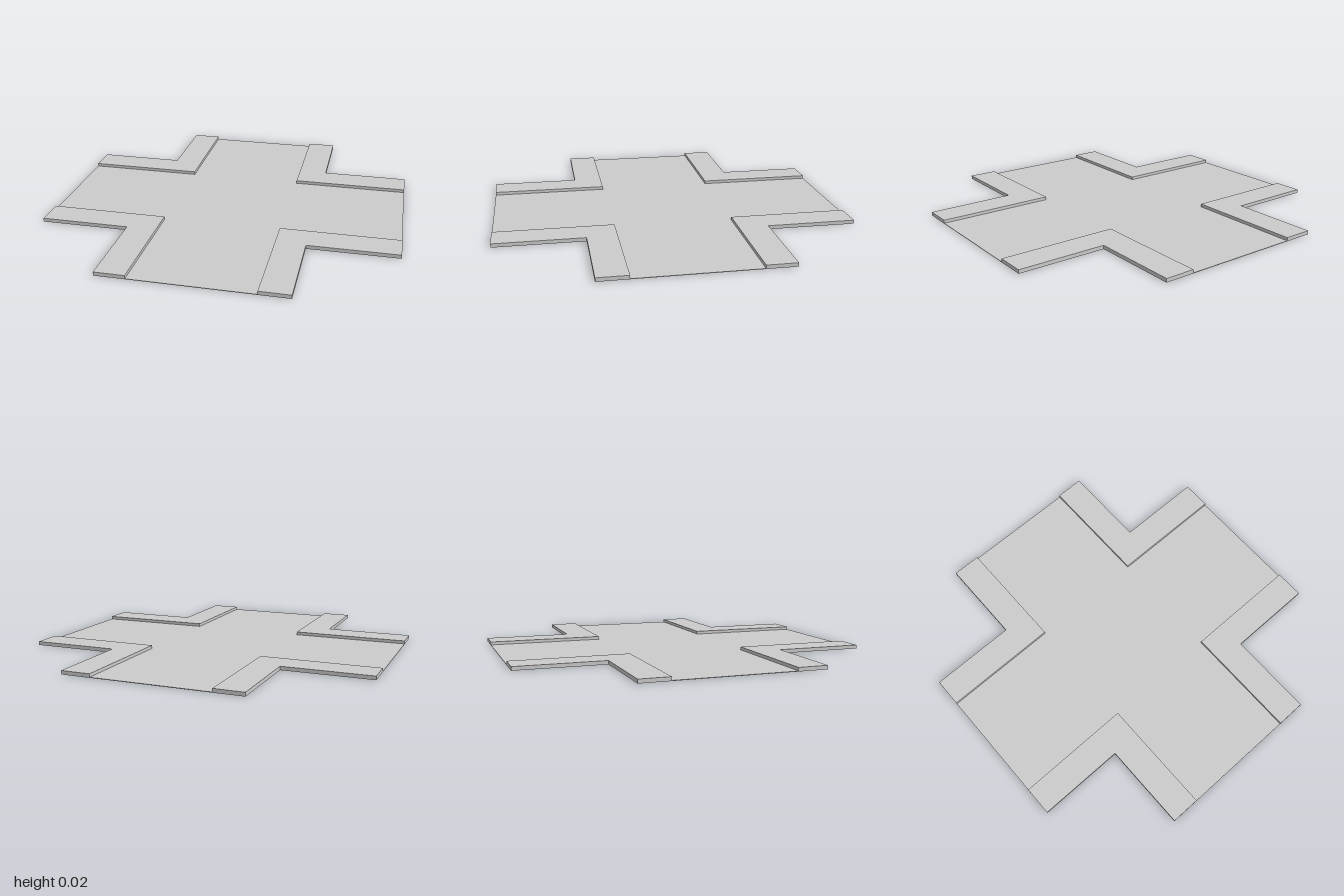
import * as THREE from 'three';

const OUTER = 0.5;      // half width of an arm
const INNER = 1 / 3;    // half width of the carriageway
const ROAD = 0.003;     // road thickness
const TOP = 0.021;      // pavement top

// Extrude a plan outline given as [x, z] points upward from y0 to y1
function slab(points, y0, y1) {
  const shape = new THREE.Shape(points.map(([x, z]) => new THREE.Vector2(x, -z)));
  const geometry = new THREE.ExtrudeGeometry(shape, { depth: y1 - y0, bevelEnabled: false });
  return geometry.rotateX(-Math.PI / 2).translate(0, y0, 0);
}

export function createModel() {
  const group = new THREE.Group();
  group.name = 'crossroads';
  const material = new THREE.MeshStandardMaterial({ color: 0xcccccc, flatShading: true });

  // Cross-shaped road bed
  const w = OUTER;
  const road = new THREE.Mesh(slab([
    [-w, -1], [w, -1], [w, -w], [1, -w], [1, w], [w, w],
    [w, 1], [-w, 1], [-w, w], [-1, w], [-1, -w], [-w, -w],
  ], 0, ROAD), material);
  road.name = 'roadBed';
  group.add(road);

  // Raised L-shaped pavement on each of the four corners
  const corner = slab([
    [INNER, INNER], [1, INNER], [1, OUTER], [OUTER, OUTER], [OUTER, 1], [INNER, 1],
  ], ROAD, TOP);
  ['frontLeft', 'backLeft', 'backRight', 'frontRight'].forEach((name, i) => {
    const pavement = new THREE.Mesh(corner, material);
    pavement.name = name + 'Pavement';
    pavement.rotation.y = i * Math.PI / 2;
    group.add(pavement);
  });

  return group;
}
